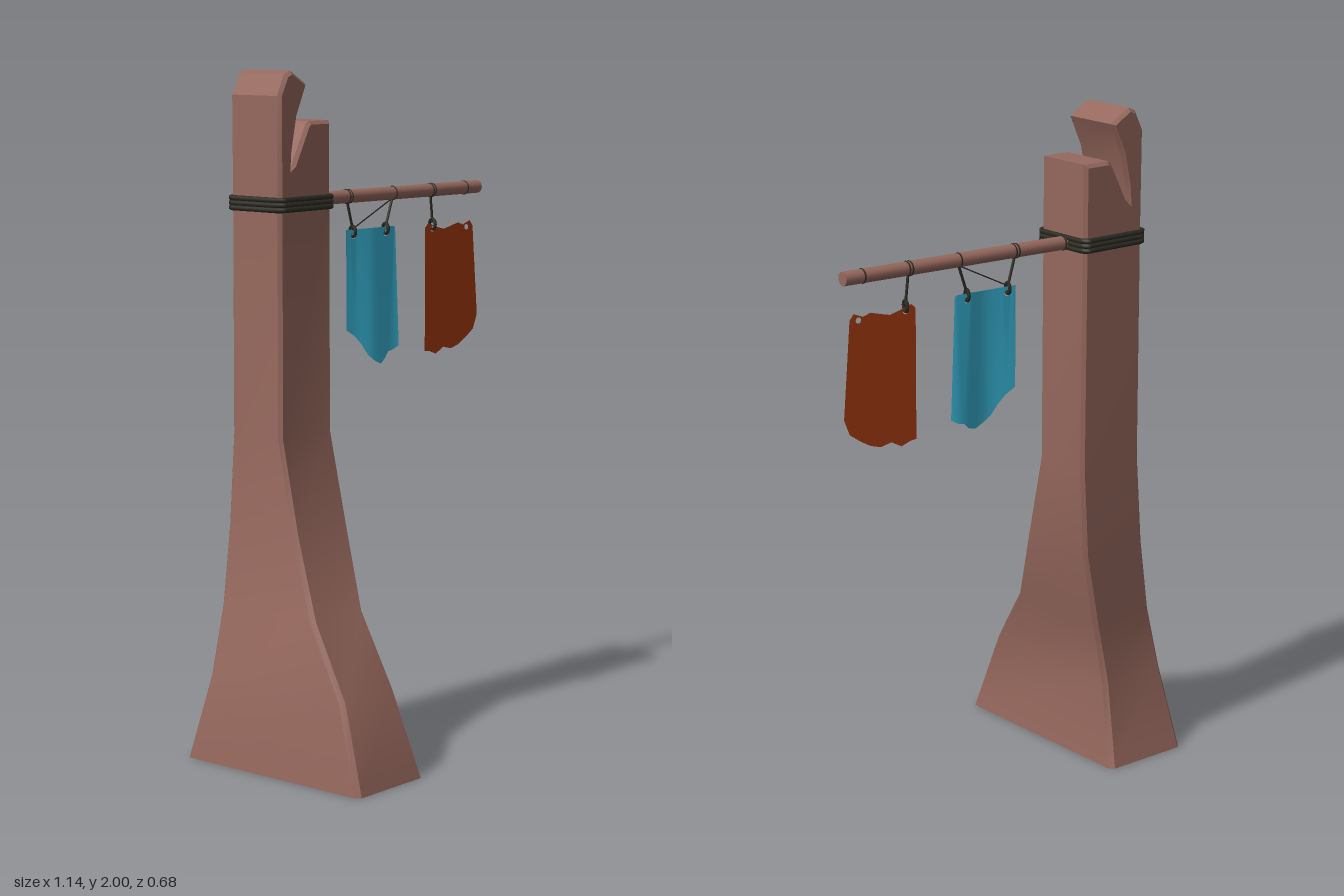
import * as THREE from 'three';
import { mergeGeometries, mergeVertices, toCreasedNormals } from 'three/addons/utils/BufferGeometryUtils.js';

const TURN = 0.0575; // slight twist of the post about the vertical
const POLE_Y = 1.62, POLE_Z = -0.21;

// Chamfered rectangle, ordered right, back, left, front
function ring(cx, cz, hw, hd, b, y) {
  const c = Math.cos(TURN), s = Math.sin(TURN);
  return [
    [hw, hd - b], [hw, b - hd], [hw - b, -hd], [b - hw, -hd],
    [-hw, b - hd], [-hw, hd - b], [b - hw, hd], [hw - b, hd],
  ].map(([u, v]) => new THREE.Vector3(cx + u * c + v * s, y, cz + v * c - u * s));
}

// Skin stacked rings, left open at both ends
function loft(rings) {
  const n = rings[0].length, index = [];
  for (let i = 0; i < rings.length - 1; i++) {
    for (let k = 0; k < n; k++) {
      const a = i * n + k, b = i * n + (k + 1) % n;
      index.push(a, b, b + n, a, b + n, a + n);
    }
  }
  const g = new THREE.BufferGeometry().setFromPoints(rings.flat());
  g.setIndex(index);
  return toCreasedNormals(g, 0.6);
}

// Hanging sheet made of vertical strips between top and bottom edges
function sheet(top, bottom, holes, depthAt) {
  const strips = [];
  for (let i = 0; i < top.length - 1; i++) {
    const corners = [bottom[i], bottom[i + 1], top[i + 1], top[i]];
    const shape = new THREE.Shape(corners.map(([x, y]) => new THREE.Vector2(x, y)));
    for (const [x, y] of holes) {
      if (x > top[i][0] && x < top[i + 1][0]) {
        shape.holes.push(new THREE.Path().absarc(x, y, 0.009, 0, Math.PI * 2, true));
      }
    }
    const g = new THREE.ShapeGeometry(shape, 5);
    g.deleteAttribute('uv');
    g.deleteAttribute('normal');
    strips.push(g);
  }
  const g = mergeVertices(mergeGeometries(strips));
  const p = g.attributes.position;
  for (let i = 0; i < p.count; i++) p.setZ(i, POLE_Z + depthAt(p.getX(i), p.getY(i)));
  g.computeVertexNormals();
  return g;
}

export function createModel() {
  const model = new THREE.Group();
  model.name = 'signPost';
  const material = (name, color, side = THREE.FrontSide) => {
    const m = new THREE.MeshStandardMaterial({ color, side });
    m.name = name;
    return m;
  };
  const wood = material('wood', 0x96685d, THREE.DoubleSide);
  const rope = material('rope', 0x2c2b22);
  const blue = material('blueCloth', 0x38b4d6, THREE.DoubleSide);
  const rust = material('rustCloth', 0xaa3c10, THREE.DoubleSide);
  const add = (name, geometry, mat) => {
    const mesh = new THREE.Mesh(geometry, mat);
    mesh.name = name;
    model.add(mesh);
    return mesh;
  };

  // Curved post: centre x, centre z, half width, half depth, chamfer, height
  add('post', loft([
    [-0.4125, 0, 0.143, 0.333, 0.014, 0],
    [-0.415, -0.005, 0.115, 0.258, 0.013, 0.25],
    [-0.37, -0.0875, 0.11, 0.181, 0.012, 0.45],
    [-0.3275, -0.145, 0.115, 0.134, 0.011, 0.68],
    [-0.3075, -0.1875, 0.112, 0.096, 0.01, 0.95],
    [-0.305, -0.1875, 0.11, 0.096, 0.01, 1.625],
  ].map((r) => ring(...r))), wood);

  // Forked top with a hooked prong
  const fork = new THREE.Shape([
    [-0.11, 1.6], [0.11, 1.6], [0.11, 1.855], [0.02, 1.855], [0.008, 1.845],
    [-0.05, 1.735], [-0.06, 1.725], [-0.052, 1.77], [-0.03, 1.87], [0.012, 1.96],
    [-0.055, 2.0], [-0.08, 1.99], [-0.11, 1.93],
  ].map(([x, y]) => new THREE.Vector2(x, y)));
  const forkGeometry = new THREE.ExtrudeGeometry(fork, {
    depth: 0.172, bevelSize: 0.01, bevelThickness: 0.01, bevelOffset: -0.01, bevelSegments: 1,
  });
  forkGeometry.translate(0, 0, -0.086);
  const forkMesh = add('forkedTop', toCreasedNormals(forkGeometry, 0.4), wood);
  forkMesh.position.set(-0.305, 0, -0.1875);
  forkMesh.rotation.y = TURN;

  // Rope wound round the post
  for (let i = 0; i < 3; i++) {
    const points = ring(-0.305, -0.1875, 0.116, 0.102, 0.014, 1.608 + i * 0.014);
    const path = new THREE.CurvePath();
    points.forEach((p, k) => path.add(new THREE.LineCurve3(p, points[(k + 1) % 8])));
    add('postRope', new THREE.TubeGeometry(path, 96, 0.008, 6, true), rope);
  }

  // Pole and the rope bands on it
  const pole = add('pole', new THREE.CylinderGeometry(0.02, 0.02, 0.83, 14), wood);
  pole.rotation.z = Math.PI / 2;
  pole.position.set(0.155, POLE_Y, POLE_Z);
  for (const x of [-0.18, -0.015, -0.005, 0.185, 0.35, 0.36, 0.507]) {
    const band = add('poleBand', new THREE.TorusGeometry(0.0195, 0.0028, 5, 14), rope);
    band.rotation.y = Math.PI / 2;
    band.position.set(x, POLE_Y, POLE_Z);
  }

  // Strings from the pole to the cloths: from x, y, to x, y, radius
  for (const [x0, y0, x1, y1, r] of [
    [-0.012, 1.61, 0.013, 1.52, 0.004],
    [0.186, 1.61, 0.155, 1.52, 0.004],
    [0.186, 1.605, 0.013, 1.522, 0.002],
    [0.354, 1.61, 0.364, 1.52, 0.004],
  ]) {
    const line = new THREE.LineCurve3(new THREE.Vector3(x0, y0, POLE_Z), new THREE.Vector3(x1, y1, POLE_Z));
    add('string', new THREE.TubeGeometry(line, 1, r, 6), rope);
  }

  // Tie rings through the cloth holes
  for (const x of [0.013, 0.155, 0.364]) {
    const tie = add('tieRing', new THREE.TorusGeometry(0.016, 0.005, 6, 12), rope);
    tie.rotation.y = Math.PI / 2 - 0.25;
    tie.position.set(x, 1.515, POLE_Z);
  }

  // Blue cloth, its folds deepening towards the hem
  add('blueCloth', sheet(
    [[-0.015, 1.52], [0.0, 1.52], [0.03, 1.52], [0.06, 1.52], [0.085, 1.52], [0.11, 1.52],
      [0.135, 1.52], [0.175, 1.52], [0.187, 1.52], [0.197, 1.517]],
    [[-0.015, 1.22], [0.015, 1.2], [0.035, 1.175], [0.055, 1.14], [0.08, 1.12], [0.11, 1.11],
      [0.145, 1.122], [0.165, 1.14], [0.185, 1.143], [0.206, 1.155]],
    [[0.015, 1.5], [0.155, 1.5]],
    (x, y) => (1.52 - y) / 0.41 * 0.015 * (1 - Math.cos((x + 0.015) / 0.19 * Math.PI * 2)),
  ), blue);

  // Rust cloth, hanging flat with a torn edge
  add('rustCloth', sheet(
    [[0.33, 1.505], [0.345, 1.518], [0.385, 1.505], [0.415, 1.497], [0.45, 1.505],
      [0.48, 1.513], [0.505, 1.505], [0.535, 1.517], [0.549, 1.5]],
    [[0.33, 1.125], [0.35, 1.123], [0.38, 1.112], [0.415, 1.13], [0.45, 1.122],
      [0.485, 1.132], [0.52, 1.152], [0.553, 1.175], [0.571, 1.22]],
    [[0.364, 1.5], [0.52, 1.497]],
    () => 0,
  ), rust);

  return model;
}
